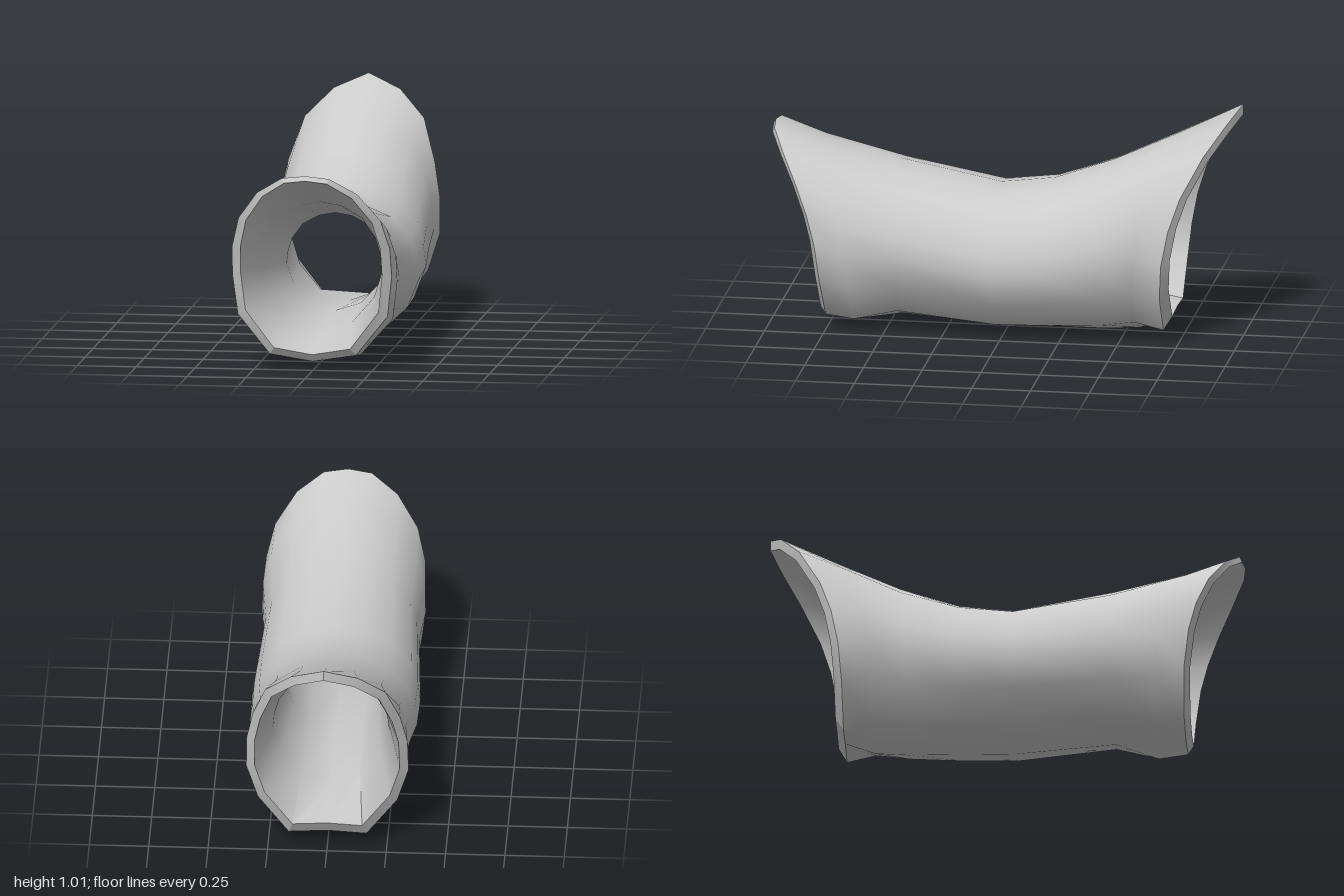
import * as THREE from 'three';
import { toCreasedNormals } from 'three/addons/utils/BufferGeometryUtils.js';

// Half cross-sections from crown to keel: [share of half width, share of height]
const FRONT = [[0, 1], [0.3, 0.985], [0.63, 0.9], [0.89, 0.755], [0.99, 0.6], [1, 0.45], [0.94, 0.24], [0.54, 0.035], [0, 0]];
const MIDDLE = [[0, 1], [0.34, 0.97], [0.67, 0.88], [0.89, 0.73], [0.97, 0.6], [1, 0.47], [0.86, 0.27], [0.5, 0.08], [0, 0]];
const BACK = [[0, 1], [0.41, 0.94], [0.74, 0.825], [0.91, 0.645], [0.99, 0.5], [1, 0.34], [0.86, 0.18], [0.48, 0.005], [0, 0.015]];
const SIDES = 2 * (FRONT.length - 1);

// Stations from front to back: [section, z at crown, z at keel, crown y, keel y, half width]
const OUTER = [
  [FRONT, 0.99, 0.75, 0.86, 0.038, 0.338],
  [FRONT, 0.8, 0.63, 0.79, 0.025, 0.345],
  [MIDDLE, 0.45, 0.45, 0.71, 0.035, 0.328],
  [MIDDLE, 0.03, 0.03, 0.627, 0, 0.355],
  [MIDDLE, -0.2, -0.2, 0.655, 0.003, 0.352],
  [MIDDLE, -0.45, -0.42, 0.745, 0.005, 0.333],
  [MIDDLE, -0.72, -0.56, 0.87, 0.015, 0.335],
  [BACK, -1, -0.685, 1.01, 0.048, 0.342],
];
const INNER = [
  [FRONT, 1, 0.775, 0.84, 0.07, 0.3],
  [MIDDLE, 0.5, 0.45, 0.68, 0.12, 0.255],
  [MIDDLE, 0.03, 0.03, 0.565, 0.15, 0.208],
  [MIDDLE, -0.45, -0.4, 0.69, 0.13, 0.245],
  [BACK, -1, -0.72, 0.965, 0.105, 0.306],
];

// The ends sweep outward towards the crown
function ring([half, zTop, zLow, top, low, width]) {
  const mirrored = half.slice(1, -1).reverse().map(([x, v]) => [-x, v]);
  return [...half, ...mirrored].map(([x, v]) => [
    x * width,
    low + (top - low) * v,
    zLow + (zTop - zLow) * Math.pow(v, 2.8),
  ]);
}

// Skin a list of closed rings
function loft(name, stations, material, crease) {
  const index = [];
  for (let i = 0; i < stations.length - 1; i++) {
    for (let j = 0; j < SIDES; j++) {
      const a = i * SIDES + j, b = i * SIDES + (j + 1) % SIDES;
      index.push(a, b, b + SIDES, a, b + SIDES, a + SIDES);
    }
  }
  const geometry = new THREE.BufferGeometry();
  geometry.setAttribute('position', new THREE.Float32BufferAttribute(stations.flatMap(ring).flat(), 3));
  geometry.setIndex(index);
  const mesh = new THREE.Mesh(toCreasedNormals(geometry, crease), material);
  mesh.name = name;
  return mesh;
}

export function createModel() {
  const material = new THREE.MeshStandardMaterial({ color: 0xcccccc });
  const group = new THREE.Group();
  group.name = 'flaredTube';
  group.add(
    loft('outerWall', OUTER, material, 0.8),
    loft('innerWall', [...INNER].reverse(), material, 0.8),
    loft('frontRim', [INNER[0], OUTER[0]], material, 0.3),
    loft('backRim', [OUTER.at(-1), INNER.at(-1)], material, 0.3),
  );
  return group;
}
